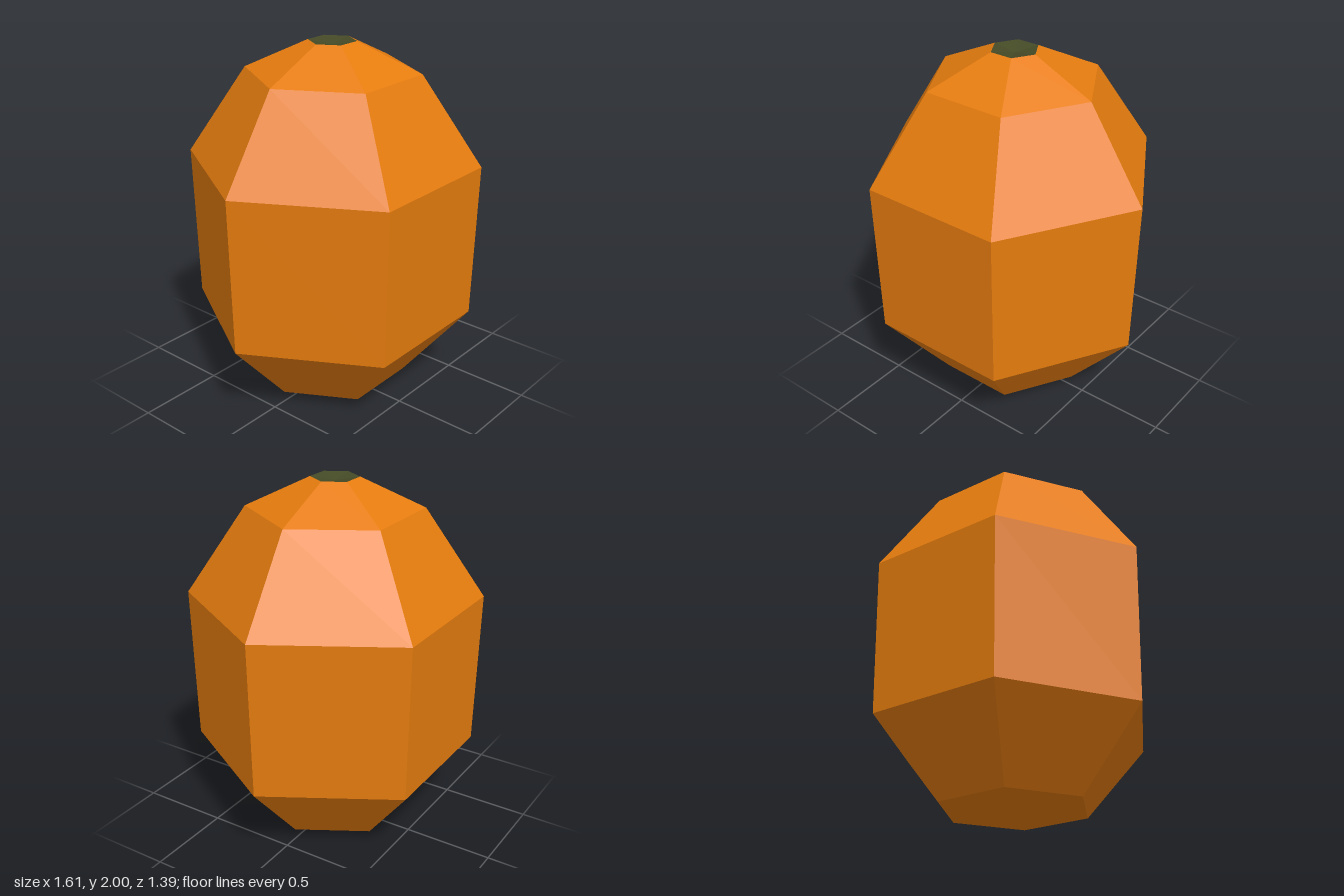
import * as THREE from 'three';

const orange = new THREE.MeshStandardMaterial({ name: 'orange skin', color: 0xe67c0e, flatShading: true });
const green = new THREE.MeshStandardMaterial({ name: 'dark green', color: 0x454a26, flatShading: true });

// Six-sided lathe with corners on the x axis; profile runs from bottom to top
function hexLathe(name, profile, material) {
  const points = profile.map(([r, y]) => new THREE.Vector2(r, y));
  const mesh = new THREE.Mesh(new THREE.LatheGeometry(points, 6, Math.PI / 6), material);
  mesh.name = name;
  return mesh;
}

export function createModel() {
  const group = new THREE.Group();
  group.name = 'fruit';

  // Faceted body, closed to a blunt point underneath
  group.add(hexLathe('body', [
    [0, 0], [0.42, 0.06], [0.785, 0.48], [0.805, 1.35], [0.475, 1.84], [0.13, 2],
  ], orange));

  // Shallow sunken stem scar closing the top
  group.add(hexLathe('stemScar', [[0.13, 2], [0, 1.98]], green));

  return group;
}
